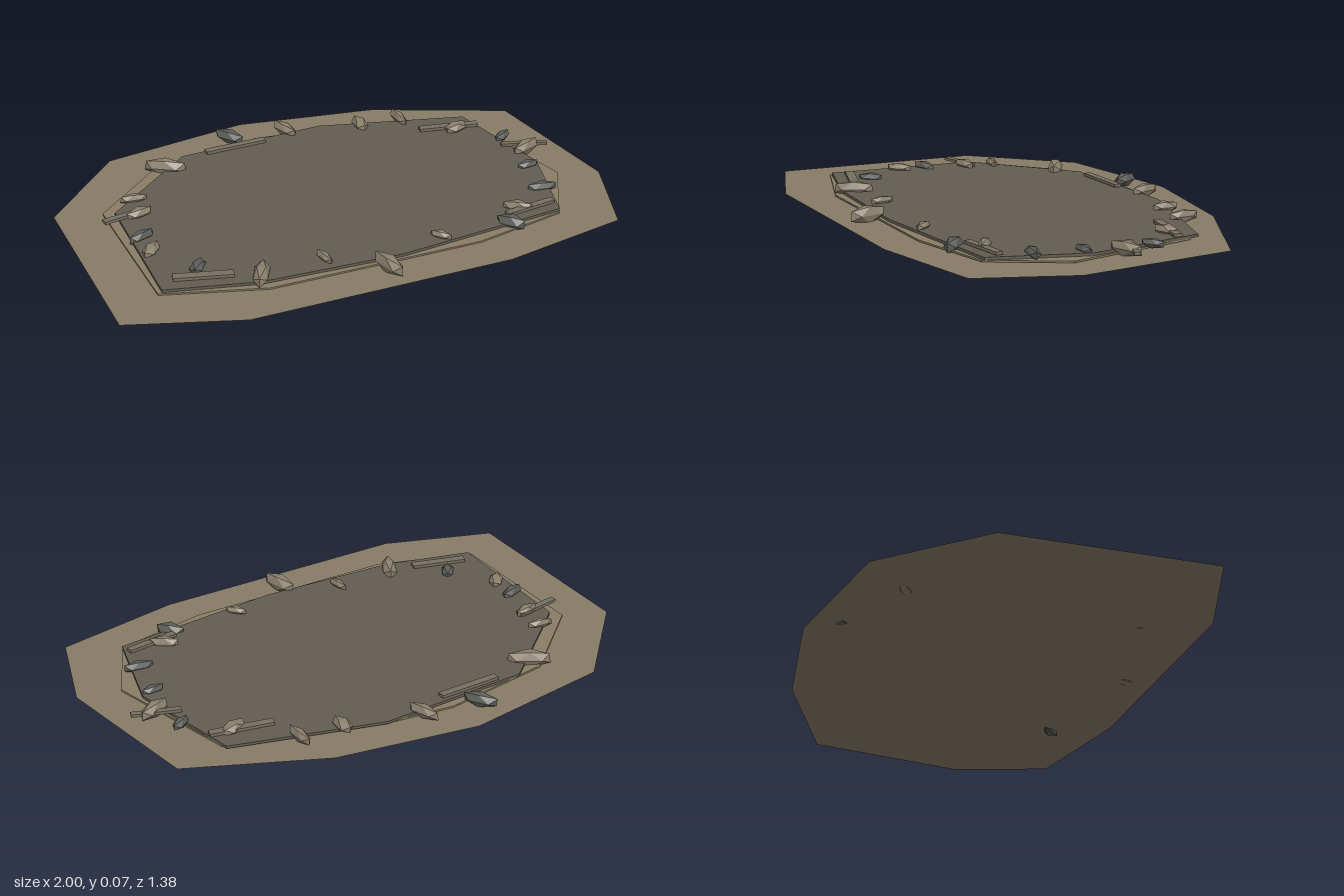
import * as THREE from 'three';

const material = (color, side = THREE.FrontSide) =>
  new THREE.MeshStandardMaterial({ color, side, flatShading: true });

// Outlines as [x, z] corners
const GROUND = [[-0.16, -0.695], [0.37, -0.655], [0.866, -0.48], [1, 0.107], [0.91, 0.465],
  [0.444, 0.6], [-0.53, 0.688], [-0.946, 0.583], [-1, -0.198], [-0.71, -0.56]];
const BANK = [[-0.14, -0.55], [0.12, -0.54], [0.68, -0.42], [0.845, 0.075], [0.73, 0.355],
  [0.385, 0.46], [-0.41, 0.527], [-0.78, 0.444], [-0.83, -0.155], [-0.556, -0.444]];
const WATER = [[-0.45, -0.476], [0.118, -0.553], [0.674, -0.45], [0.8, -0.015], [0.733, 0.348],
  [0.09, 0.473], [-0.433, 0.495], [-0.765, 0.44], [-0.79, -0.13]];

// Stones: x, z, half length, half width, direction x, direction z, dark
const STONES = [
  [-0.235, -0.57, 0.06, 0.026, 15, 18, 1], [-0.02, -0.56, 0.058, 0.022, 9, 21, 0],
  [0.27, -0.51, 0.05, 0.024, 2, 18, 0], [0.43, -0.507, 0.055, 0.017, 3, 20, 0],
  [-0.535, -0.405, 0.075, 0.026, 26, 13, 0], [0.61, -0.36, 0.05, 0.027, 18, -10, 0],
  [0.755, -0.245, 0.04, 0.019, 12, -9, 1], [0.8, -0.125, 0.065, 0.024, 22, -12, 0],
  [0.755, 0.005, 0.042, 0.018, 16, -3, 1], [0.735, 0.18, 0.05, 0.02, 20, 2, 1],
  [0.59, 0.295, 0.055, 0.018, 18, 10, 0], [0.53, 0.385, 0.05, 0.025, 14, 13, 1],
  [0.255, 0.4, 0.038, 0.017, 11, 11, 0], [0.015, 0.53, 0.075, 0.026, 10, 26, 0],
  [-0.18, 0.417, 0.042, 0.015, 4, 16, 0], [-0.42, 0.455, 0.07, 0.026, 10, -24, 0],
  [-0.61, 0.33, 0.045, 0.022, 8, -15, 1], [-0.735, 0.175, 0.045, 0.024, 12, -14, 0],
  [-0.745, 0.07, 0.053, 0.02, 20, -10, 1], [-0.71, -0.09, 0.05, 0.022, 18, -6, 0],
  [-0.705, -0.2, 0.045, 0.015, 17, 1, 0],
];

// Planks: x, z, length, width, direction x, direction z
const PLANKS = [
  [-0.24, -0.48, 0.24, 0.028, 45, -5], [0.585, -0.375, 0.23, 0.03, 44, 5],
  [0.805, -0.15, 0.175, 0.022, 32, 8], [0.63, 0.315, 0.2, 0.027, 36, -8],
  [-0.61, 0.405, 0.21, 0.034, 38, 7], [-0.76, -0.085, 0.18, 0.025, 33, -9],
];

const outline = (points) => new THREE.Shape(points.map(([x, z]) => new THREE.Vector2(x, -z)));

// Flat slab lying between two heights
function slab(name, points, bottom, top, color) {
  const geometry = new THREE.ExtrudeGeometry(outline(points), { depth: top - bottom, bevelEnabled: false });
  geometry.rotateX(-Math.PI / 2).translate(0, bottom, 0);
  const mesh = new THREE.Mesh(geometry, material(color));
  mesh.name = name;
  return mesh;
}

// Faceted pebble, slightly uneven, pointed along its long axis
function stoneGeometry(halfLength, halfWidth, halfHeight, seed) {
  const geometry = new THREE.IcosahedronGeometry(1, 0);
  const p = geometry.attributes.position;
  for (let i = 0; i < p.count; i++) {
    const x = p.getX(i), y = p.getY(i), z = p.getZ(i);
    const k = 1 + 0.08 * Math.sin(seed * 2.3 + x * 5 + y * 7 + z * 3);
    p.setXYZ(i, x * k, y, z * k);
  }
  geometry.scale(halfWidth / 0.85, halfHeight / 0.85, halfLength / 0.85);
  geometry.computeVertexNormals();
  return geometry;
}

export function createModel() {
  const model = new THREE.Group();
  model.name = 'pond';

  // Muddy ground sheet
  const ground = new THREE.Mesh(
    new THREE.ShapeGeometry(outline(GROUND)).rotateX(-Math.PI / 2).translate(0, 0.012, 0),
    material(0x867b66, THREE.DoubleSide));
  ground.name = 'ground';
  model.add(ground);

  // Raised bank and water
  model.add(slab('bank', BANK, 0.014, 0.02, 0x8a7d66));
  model.add(slab('water', WATER, 0.02, 0.03, 0x625d51));

  // Ring of stones
  const stones = new THREE.Group();
  stones.name = 'stones';
  const light = material(0x8a7f6c), dark = material(0x5c5c58);
  STONES.forEach(([x, z, halfLength, halfWidth, dx, dz, isDark], i) => {
    const sunk = i === 11;
    const halfHeight = sunk ? 0.028 : halfLength * 0.39;
    const stone = new THREE.Mesh(
      stoneGeometry(halfLength, halfWidth, halfHeight, i), isDark ? dark : light);
    stone.name = 'stone';
    stone.position.set(x, sunk ? 0.028 : isDark ? 0.033 : 0.037, z);
    stone.rotation.y = Math.atan2(dx, dz);
    stones.add(stone);
  });
  model.add(stones);

  // Loose planks around the edge
  const planks = new THREE.Group();
  planks.name = 'planks';
  const wood = material(0x777062);
  for (const [x, z, length, width, dx, dz] of PLANKS) {
    const plank = new THREE.Mesh(new THREE.BoxGeometry(length, 0.011, width), wood);
    plank.name = 'plank';
    plank.position.set(x, 0.038, z);
    plank.rotation.y = Math.atan2(-dz, dx);
    planks.add(plank);
  }
  model.add(planks);
  return model;
}
